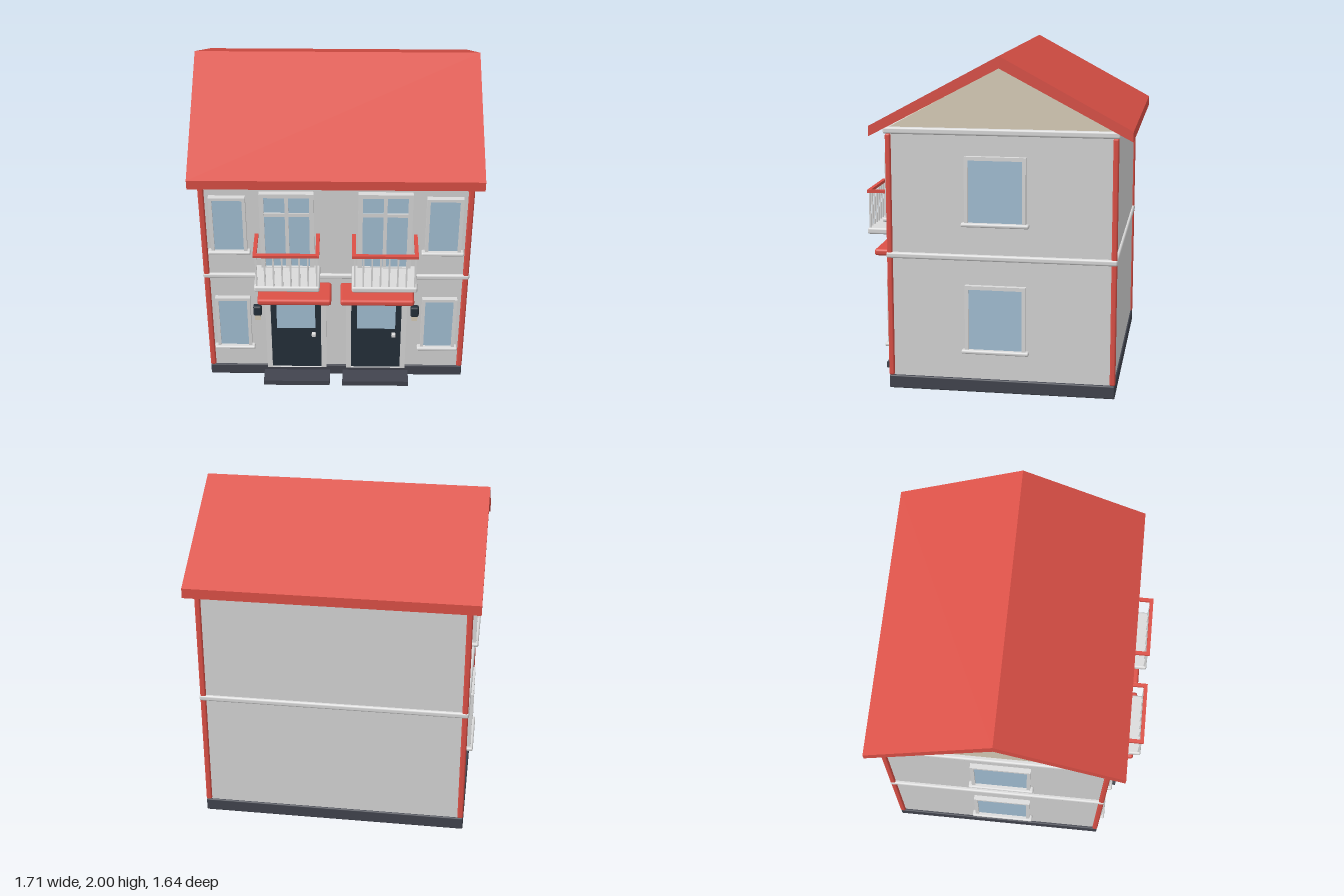
import * as THREE from 'three';
import { RoundedBoxGeometry } from 'three/addons/geometries/RoundedBoxGeometry.js';

const material = (name, color) => {
  const m = new THREE.MeshStandardMaterial({ color });
  m.name = name;
  return m;
};

export function createModel() {
  const house = new THREE.Group();
  house.name = 'house';

  const wall = material('light grey wall', 0xd6d6d6);
  const trim = material('pale trim', 0xdadada);
  const red = material('roof red', 0xdc5046);
  const beige = material('gable beige', 0xdacfba);
  const glass = material('window glass', 0xa4c1d6);
  const dark = material('door navy', 0x25303a);
  const stone = material('base slate', 0x41444e);

  const CZ = -0.06;      // middle of the house in z
  const FRONT = 0.605;   // front wall plane
  const SIDE = 0.79;     // side wall plane

  const add = (parent, name, geometry, mat, x = 0, y = 0, z = 0) => {
    const mesh = new THREE.Mesh(geometry, mat);
    mesh.name = name;
    mesh.position.set(x, y, z);
    parent.add(mesh);
    return mesh;
  };
  const box = (parent, name, mat, w, h, d, x, y, z) =>
    add(parent, name, new THREE.BoxGeometry(w, h, d), mat, x, y, z);
  const rounded = (parent, name, mat, w, h, d, x, y, z, r = 0.012) =>
    add(parent, name, new RoundedBoxGeometry(w, h, d, 2, r), mat, x, y, z);
  const group = (name, x, y, z, turn = 0) => {
    const g = new THREE.Group();
    g.name = name;
    g.position.set(x, y, z);
    g.rotation.y = turn;
    house.add(g);
    return g;
  };

  // Extrude a (z, y) outline along x, centred on x = 0
  const acrossX = (points, length) => {
    const shape = new THREE.Shape(points.map(([z, y]) => new THREE.Vector2(-z, y)));
    const geo = new THREE.ExtrudeGeometry(shape, { depth: length, bevelEnabled: false });
    geo.translate(0, 0, -length / 2);
    geo.rotateY(Math.PI / 2);
    return geo;
  };

  // Rectangular surround with an opening, standing on y = 0 and facing +z
  const surround = (w, h, border, bottom, depth) => {
    const rect = (path, x, y0, y1) => path.moveTo(-x, y0).lineTo(x, y0).lineTo(x, y1).lineTo(-x, y1).closePath();
    const shape = rect(new THREE.Shape(), w / 2, 0, h);
    shape.holes.push(rect(new THREE.Path(), w / 2 - border, bottom, h - border));
    return new THREE.ExtrudeGeometry(shape, { depth, bevelEnabled: false });
  };

  // Plinth and walls
  rounded(house, 'base', stone, 1.61, 0.08, 1.35, 0, 0.04, CZ, 0.008);
  box(house, 'walls', wall, SIDE * 2, 1.5, (FRONT - CZ) * 2, 0, 0.82, CZ);

  // Mouldings between the floors and under the roof
  rounded(house, 'floorMoulding', trim, 1.622, 0.036, 1.362, 0, 0.82, CZ);
  rounded(house, 'eavesMoulding', trim, 1.63, 0.04, 1.374, 0, 1.56, CZ);

  // Corner posts
  for (const x of [-0.788, 0.788])
    for (const z of [-0.661, 0.661])
      rounded(house, 'cornerPost', red, 0.035, 1.46, 0.033, x, 0.81, CZ + z, 0.01);

  // Gable and roof
  add(house, 'gable', acrossX([[0.67, 1.57], [0, 1.935], [-0.67, 1.57]], SIDE * 2), beige, 0, 0, CZ);
  add(house, 'roof', acrossX([[0.76, 1.53], [0.76, 1.59], [0, 2], [-0.76, 1.59], [-0.76, 1.53], [0, 1.93]], 1.706), red, 0, 0, CZ);

  // Sash windows with sills
  const addWindow = (w, border, x, y, z, turn) => {
    const g = group('window', x, y, z, turn);
    add(g, 'windowFrame', surround(w, 0.4, border, 0.01, 0.03), trim);
    box(g, 'windowGlass', glass, w - border * 2, 0.37, 0.008, 0, 0.195, 0.014);
    rounded(g, 'windowSill', trim, w + 0.04, 0.024, 0.045, 0, 0, 0.0225, 0.01);
  };
  for (const y of [0.255, 1.02]) {
    for (const s of [-1, 1]) {
      addWindow(0.215, 0.02, s * 0.638, y, FRONT, 0);
      addWindow(0.36, 0.022, s * SIDE, y, -0.03, s * Math.PI / 2);
    }
  }

  for (const s of [-1, 1]) {
    // Front door with glazing, knob, step and canopy
    const door = group('entrance', s * 0.25, 0, FRONT);
    add(door, 'doorFrame', surround(0.376, 0.61, 0.032, 0.001, 0.03), trim, 0, 0.08, 0);
    box(door, 'door', dark, 0.314, 0.577, 0.02, 0, 0.3685, 0.01);
    box(door, 'doorGlass', glass, 0.24, 0.21, 0.006, 0, 0.515, 0.021);
    rounded(door, 'doorKnob', trim, 0.026, 0.028, 0.025, 0.11, 0.363, 0.03, 0.006);
    box(door, 'step', stone, 0.42, 0.036, 0.13, 0, 0.022, 0.05);
    rounded(door, 'canopy', red, 0.445, 0.042, 0.18, 0, 0.748, 0.088, 0.015);

    // Wall lamp
    rounded(house, 'lampHousing', dark, 0.052, 0.075, 0.04, s * 0.487, 0.556, FRONT + 0.02);
    box(house, 'lampBulb', beige, 0.036, 0.04, 0.025, s * 0.487, 0.5, FRONT + 0.016);

    // Glazed balcony door
    const balcony = group('balcony', s * 0.29, 0, FRONT);
    add(balcony, 'balconyDoorFrame', surround(0.32, 0.56, 0.027, 0.02, 0.03), trim, 0, 0.89, 0);
    box(balcony, 'balconyDoorGlass', glass, 0.27, 0.53, 0.008, 0, 1.165, 0.014);
    box(balcony, 'balconyDoorMullion', trim, 0.022, 0.53, 0.024, 0, 1.165, 0.014);
    box(balcony, 'balconyDoorTransom', trim, 0.27, 0.025, 0.024, 0, 1.297, 0.0135);

    // Balcony slab, balusters and handrail
    rounded(balcony, 'balconyFloor', trim, 0.39, 0.04, 0.215, 0, 0.885, 0.1075);
    for (let i = 0; i < 8; i++)
      box(balcony, 'baluster', trim, 0.01, 0.22, 0.01, -0.178 + i * 0.356 / 7, 1.012, 0.2);
    box(balcony, 'frontHandrail', red, 0.388, 0.018, 0.022, 0, 1.133, 0.202);
    for (const x of [-0.183, 0.183])
      box(balcony, 'sideHandrail', red, 0.022, 0.018, 0.192, x, 1.133, 0.096);
  }

  return house;
}
